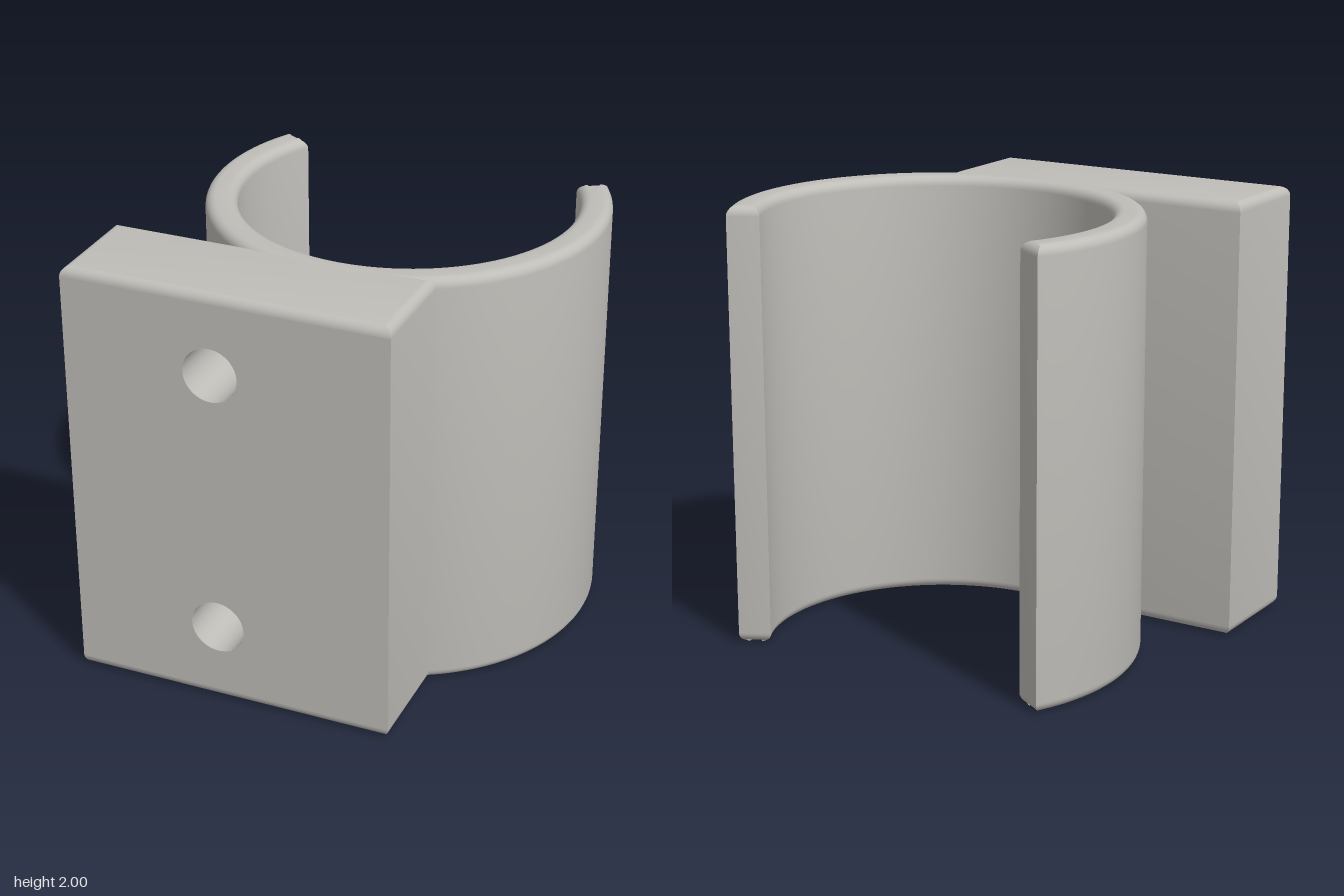
import * as THREE from 'three';
import { toCreasedNormals } from 'three/addons/utils/BufferGeometryUtils.js';

const HEIGHT = 2, FILLET = 0.045;
const LEFT = -0.985, RIGHT = 0.51, BACK = 0.365, FRONT = 0.865;
const HOLE_X = -0.3, HOLE_R = 0.125, HOLE_DEPTH = 0.4, HOLE_YS = [0.375, 1.625];

// Upright extrusion of a plan outline (shape y = -z) with filleted top and bottom rims
function uprightSolid(shape) {
  const geo = new THREE.ExtrudeGeometry(shape, {
    depth: HEIGHT - 2 * FILLET, curveSegments: 72,
    bevelEnabled: true, bevelThickness: FILLET, bevelSize: FILLET,
    bevelOffset: -FILLET, bevelSegments: 6,
  });
  geo.rotateX(-Math.PI / 2).translate(0, FILLET, 0);
  return toCreasedNormals(geo, 0.4);
}

// Drop the flat front wall so that a pierced one can take its place
function withoutFront(geo) {
  const pos = geo.attributes.position, keep = [];
  for (let i = 0; i < pos.count; i += 3) {
    const z = Math.min(pos.getZ(i), pos.getZ(i + 1), pos.getZ(i + 2));
    if (z < FRONT - 1e-4) keep.push(i, i + 1, i + 2);
  }
  geo.setIndex(keep);
  geo.clearGroups();
  return geo;
}

export function createModel() {
  const model = new THREE.Group();
  model.name = 'pipeClip';
  const grey = new THREE.MeshStandardMaterial({ color: 0xbfbdb8, side: THREE.DoubleSide });
  grey.name = 'warm grey';
  const add = (name, geo, parent = model) => {
    const mesh = new THREE.Mesh(geo, grey);
    mesh.name = name;
    parent.add(mesh);
    return mesh;
  };

  // Open C-shaped clip
  const cx = 0.075, cy = 0.42, a0 = Math.PI * 5 / 6, a1 = Math.PI * 13 / 6;
  const ring = new THREE.Shape();
  ring.absarc(cx, cy, 0.905, a0, a1, false);
  ring.absarc(cx, cy, 0.76, a1, a0, true);
  ring.closePath();
  add('clipRing', uprightSolid(ring));

  // Mounting block
  const block = new THREE.Group();
  block.name = 'mountingBlock';
  model.add(block);
  const plan = new THREE.Shape([
    new THREE.Vector2(LEFT, -FRONT), new THREE.Vector2(RIGHT, -FRONT),
    new THREE.Vector2(RIGHT, -BACK), new THREE.Vector2(LEFT, -BACK),
  ]);
  add('blockBody', withoutFront(uprightSolid(plan)), block);

  // Front wall pierced by the screw holes
  const wall = new THREE.Shape([
    new THREE.Vector2(LEFT, FILLET), new THREE.Vector2(RIGHT, FILLET),
    new THREE.Vector2(RIGHT, HEIGHT - FILLET), new THREE.Vector2(LEFT, HEIGHT - FILLET),
  ]);
  for (const y of HOLE_YS) {
    wall.holes.push(new THREE.Path().absarc(HOLE_X, y, HOLE_R, 0, Math.PI * 2, true));
  }
  add('blockFront', new THREE.ShapeGeometry(wall, 48), block).position.z = FRONT;

  // Screw hole walls and floors
  for (const y of HOLE_YS) {
    const bore = new THREE.CylinderGeometry(HOLE_R, HOLE_R, HOLE_DEPTH, 48, 1, true).rotateX(Math.PI / 2);
    add('screwHoleWall', bore, block).position.set(HOLE_X, y, FRONT - HOLE_DEPTH / 2);
    add('screwHoleFloor', new THREE.CircleGeometry(HOLE_R, 48), block).position.set(HOLE_X, y, FRONT - HOLE_DEPTH);
  }
  return model;
}
